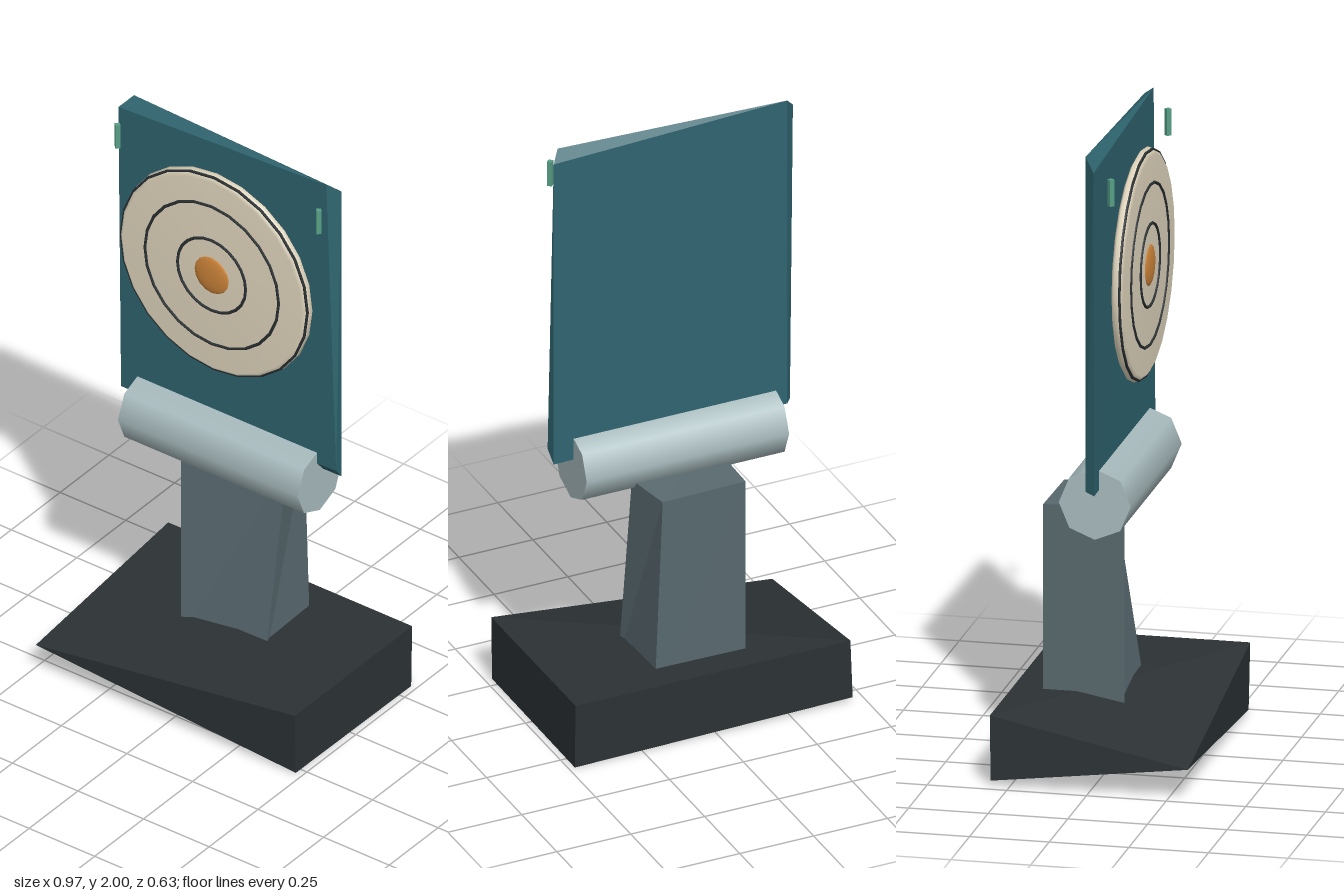
import * as THREE from 'three';
import { ConvexGeometry } from 'three/addons/geometries/ConvexGeometry.js';

const mat = (color, flat = false) => new THREE.MeshStandardMaterial({ color, flatShading: flat });

function add(group, name, geometry, material, x = 0, y = 0, z = 0) {
  const mesh = new THREE.Mesh(geometry, material);
  mesh.name = name;
  mesh.position.set(x, y, z);
  group.add(mesh);
  return mesh;
}

const hull = (points) => new ConvexGeometry(points.map((p) => new THREE.Vector3(...p)));

// Box whose eight corners are moved; corner order: left/right (x), low/high (y), back/front (z)
function skewedBox(corners) {
  const geo = new THREE.BoxGeometry(1, 1, 1);
  const pos = geo.attributes.position;
  for (let i = 0; i < pos.count; i++) {
    const k = (pos.getX(i) > 0 ? 4 : 0) + (pos.getY(i) > 0 ? 2 : 0) + (pos.getZ(i) > 0 ? 1 : 0);
    pos.setXYZ(i, ...corners[k]);
  }
  geo.computeVertexNormals();
  return geo;
}

export function createModel() {
  const model = new THREE.Group();
  model.name = 'targetStand';
  const dark = mat(0x2c3235);

  // Base block, one front corner pinched to a point
  add(model, 'base', hull([
    [-0.485, 0.1, 0.315], [0.48, 0.22, 0.285], [0.48, 0.005, 0.28],
    [-0.45, 0.22, -0.315], [-0.46, 0.015, -0.31], [0.48, 0.22, -0.315], [0.48, 0, -0.31],
  ]), mat(0x2c3235, true));

  // Neck, its upper right front corner set back
  add(model, 'neck', skewedBox([
    [-0.14, 0.12, -0.22], [-0.14, 0.12, 0.035], [-0.14, 0.81, -0.22], [-0.14, 0.82, 0.035],
    [0.165, 0.12, -0.215], [0.172, 0.12, 0.03], [0.14, 0.805, -0.22], [0.178, 0.82, -0.08],
  ]), mat(0x58696f, true));

  // Horizontal hinge barrel
  const barrel = new THREE.CylinderGeometry(0.113, 0.113, 0.685, 8);
  barrel.rotateZ(Math.PI / 2);
  add(model, 'hingeBarrel', barrel, mat(0xa9bcbf), 0.01, 0.88, -0.013);

  // Back panel with uneven bevels
  add(model, 'backPanel', hull([
    [-0.37, 2, -0.033], [0.42, 1.97, -0.033], [0.42, 0.91, -0.033], [-0.37, 0.93, -0.033],
    [-0.405, 1.96, 0], [0.39, 2, 0.003], [0.425, 0.95, 0], [-0.395, 0.925, 0],
  ]), mat(0x2f6570, true));

  // Target: shallow disc, three dark rings and a bullseye, built around z
  const target = new THREE.Group();
  target.name = 'target';
  target.position.set(0.01, 1.55, 0);
  model.add(target);

  const profile = [[0, 0.04], [0.345, 0.04], [0.362, 0.05], [0.358, 0.066], [0.342, 0.078], [0, 0.08]];
  const disc = new THREE.LatheGeometry(profile.map(([r, h]) => new THREE.Vector2(r, h)), 24);
  disc.rotateX(Math.PI / 2);
  add(target, 'targetDisc', disc, mat(0xe6dbc2));

  [[0.355, 0.066], [0.255, 0.079], [0.13, 0.08]].forEach(([r, z], i) => {
    const ring = new THREE.TorusGeometry(r, 0.005, 6, 24);
    add(target, 'targetRing' + (i + 1), ring, dark, 0, 0, z);
  });

  const bullseye = new THREE.SphereGeometry(0.066, 16, 8, 0, Math.PI * 2, 0, Math.PI / 2);
  bullseye.rotateX(Math.PI / 2);
  bullseye.scale(1, 1, 0.18);
  add(target, 'bullseye', bullseye, mat(0xd0863a), 0, 0, 0.078);

  // Small diamond-section indicators beside the disc
  for (const [name, x] of [['rightIndicator', -0.373], ['leftIndicator', 0.394]]) {
    add(model, name, new THREE.CylinderGeometry(0.011, 0.011, 0.085, 4), mat(0x58a086, true), x, 1.892, 0.047);
  }

  return model;
}
